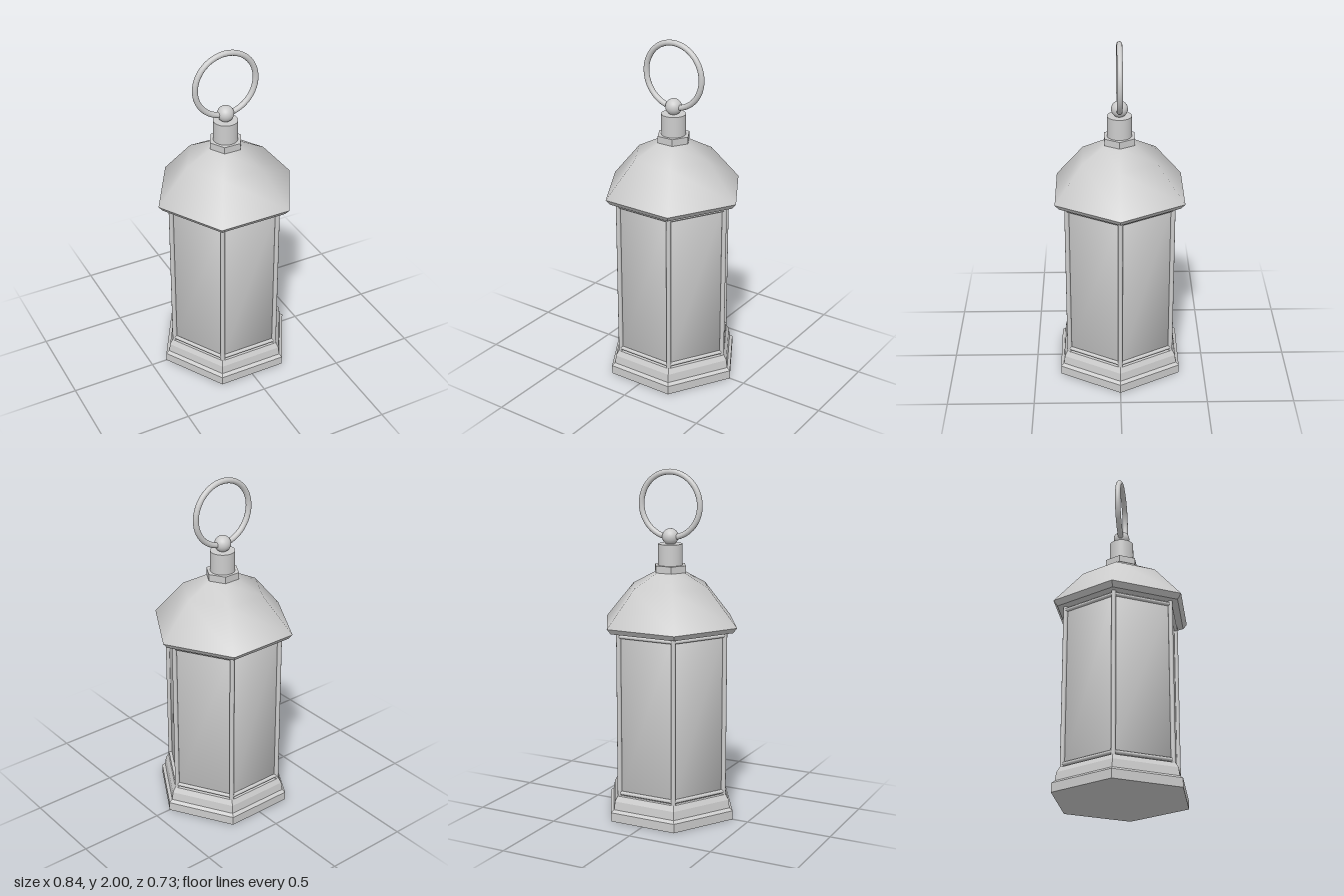
import * as THREE from 'three';
import { mergeVertices } from 'three/addons/utils/BufferGeometryUtils.js';

export function createModel() {
  const model = new THREE.Group();
  model.name = 'lantern';
  const metal = new THREE.MeshStandardMaterial({ color: 0xcccccc });
  metal.name = 'light grey metal';

  const add = (name, geometry, x = 0, y = 0, z = 0, parent = model) => {
    const mesh = new THREE.Mesh(geometry, metal);
    mesh.name = name;
    mesh.position.set(x, y, z);
    parent.add(mesh);
    return mesh;
  };

  // Six-sided turned shape from [radius, height] pairs, corners on the x axis
  const hexLathe = (profile) => new THREE.LatheGeometry(
    profile.map(([r, y]) => new THREE.Vector2(r, y)), 6, Math.PI / 2);
  const faceted = (geometry) => {
    const g = geometry.toNonIndexed();
    g.computeVertexNormals();
    return g;
  };
  const softened = (geometry) => {
    geometry.deleteAttribute('normal');
    geometry.deleteAttribute('uv');
    const g = mergeVertices(geometry, 1e-4);
    g.computeVertexNormals();
    return g;
  };

  // Stepped base
  add('base', faceted(hexLathe([
    [0, 0], [0.405, 0], [0.405, 0.052], [0.385, 0.067], [0.378, 0.115],
    [0.36, 0.145], [0, 0.145],
  ])));

  // Glass body, softly shaded round its corners
  const glass = new THREE.CylinderGeometry(0.337, 0.337, 0.965, 6, 1, false, Math.PI / 2);
  add('glass', softened(glass), 0, 0.6225, 0);

  // Corner posts with rails along the bottom and top of each pane
  const frame = new THREE.Group();
  frame.name = 'frame';
  model.add(frame);
  const postRadius = 0.345;
  const apothem = postRadius * Math.cos(Math.PI / 6);
  const post = new THREE.CylinderGeometry(0.013, 0.013, 0.965, 12);
  const rail = new THREE.CylinderGeometry(0.011, 0.011, postRadius, 10).rotateZ(Math.PI / 2);
  for (let i = 0; i < 6; i++) {
    const a = i * Math.PI / 3;
    add('post', post, postRadius * Math.cos(a), 0.6225, postRadius * Math.sin(a), frame);
    for (const y of [0.163, 1.082]) {
      const bar = add('rail', rail, apothem * Math.sin(a), y, apothem * Math.cos(a), frame);
      bar.rotation.y = a;
    }
  }

  // Roof: flat eave below, smooth bent panels above
  add('eave', faceted(hexLathe([[0, 1.1], [0.395, 1.1], [0.42, 1.13]])));
  add('roof', softened(hexLathe([[0.42, 1.13], [0.24, 1.34], [0.09, 1.42]])));

  // Neck and hanging hardware
  add('collar', faceted(hexLathe([[0, 1.42], [0.098, 1.42], [0.098, 1.46], [0, 1.46]])));
  add('neck', new THREE.CylinderGeometry(0.07, 0.07, 0.12, 32), 0, 1.52, 0);
  add('ball', new THREE.SphereGeometry(0.047, 24, 16), 0, 1.62, 0);
  add('ring', new THREE.TorusGeometry(0.184, 0.016, 14, 56), 0, 1.8, 0);

  return model;
}
